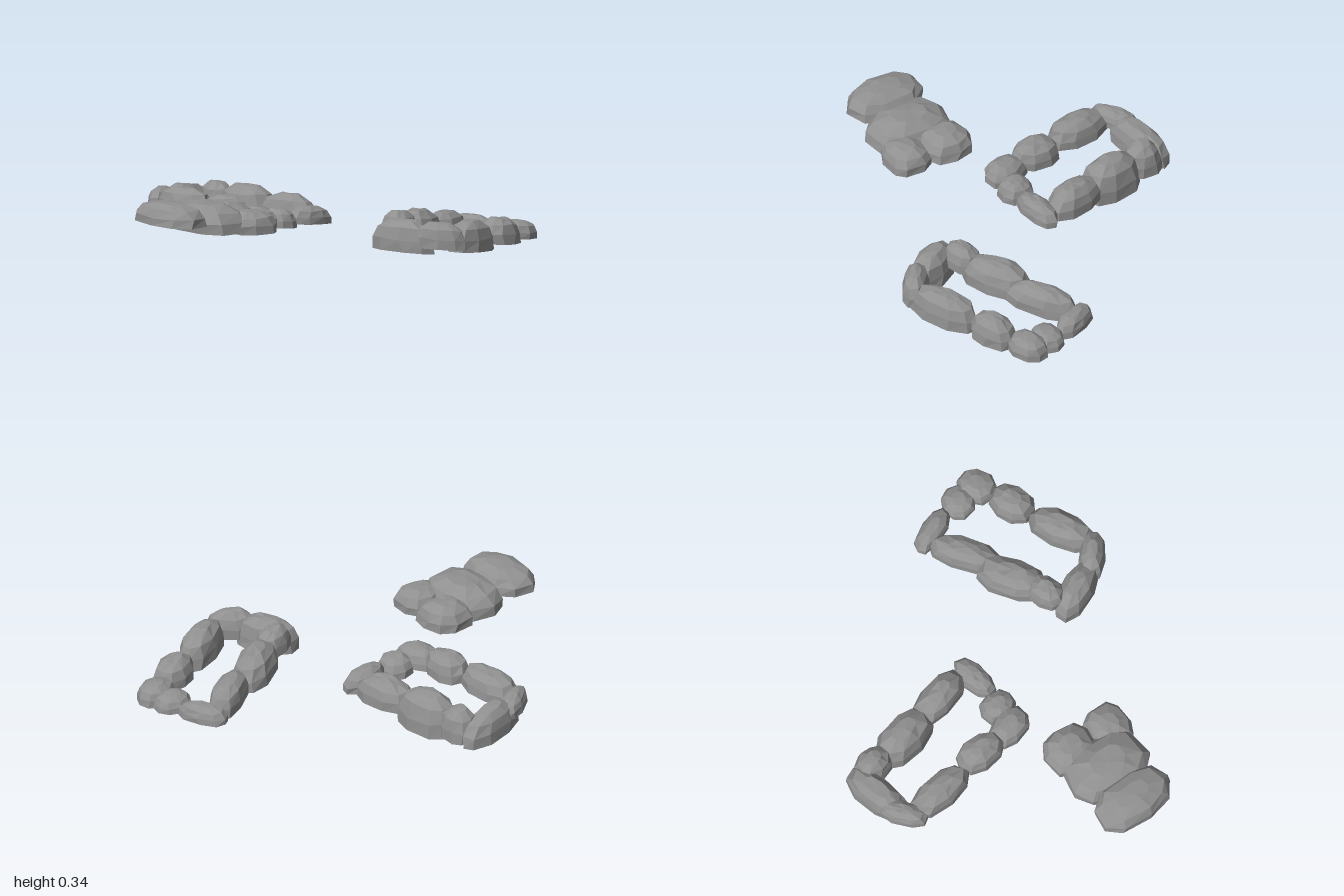
import * as THREE from 'three';

const SIDES = 9;
// profile of an open-bottomed boulder shell: [height, radius]
const PROFILE = [[0, 1], [0.38, 0.98], [0.74, 0.81], [0.96, 0.42]];

function makeRandom(seed) {
  let s = seed;
  return () => ((s = (s * 16807) % 2147483647) / 2147483647) - 0.5;
}

// One faceted boulder; square < 1 makes the outline boxier, slope leans it with the ground
function boulderGeometry(halfLength, halfWidth, height, yaw, { square, slope }, seed) {
  const rnd = makeRandom(seed * 7919 + 13);
  for (let i = 0; i < 5; i++) rnd();
  const pos = [], idx = [];
  const c = Math.cos(yaw), s = Math.sin(yaw);
  const add = (u, v, y) => {
    const x = u * c + v * s, z = -u * s + v * c;
    pos.push(x, y + slope[0] * x + slope[1] * z, z);
  };
  const soft = (t) => Math.sign(t) * Math.pow(Math.abs(t), square);
  const wobble = Array.from({ length: SIDES }, () => 1 + rnd() * 0.06);
  const phase = rnd() * 0.6;
  PROFILE.forEach(([h, r], k) => {
    for (let i = 0; i < SIDES; i++) {
      const a = (i / SIDES) * Math.PI * 2 + phase + rnd() * 0.16;
      const q = r * wobble[i] * (1 + rnd() * 0.05);
      const lift = k === 0 ? 0 : rnd() * 0.08;
      add(soft(Math.cos(a)) * halfLength * q, soft(Math.sin(a)) * halfWidth * q, (h + lift) * height);
    }
  });
  const peak = pos.length / 3;
  add(halfLength * rnd() * 0.2, halfWidth * rnd() * 0.2, height);
  const last = (PROFILE.length - 1) * SIDES;
  for (let i = 0; i < SIDES; i++) {
    const j = (i + 1) % SIDES;
    for (let k = 0; k < last; k += SIDES) {
      const a = k + i, b = k + j;
      idx.push(a, a + SIDES, b, b, a + SIDES, b + SIDES);
    }
    idx.push(peak, last + j, last + i);
  }
  const indexed = new THREE.BufferGeometry();
  indexed.setAttribute('position', new THREE.Float32BufferAttribute(pos, 3));
  indexed.setIndex(idx);
  const geo = indexed.toNonIndexed();
  geo.computeVertexNormals();
  return geo;
}

// Each stone: x, z, half length, half width, yaw in degrees, bottom, top
const STEPS = [
  [-0.87, 0.145, 0.2, 0.125, 90, 0.235, 0.338],
  [-0.655, 0.155, 0.21, 0.155, 90, 0.185, 0.312],
  [-0.475, 0.07, 0.13, 0.12, 90, 0.173, 0.285],
  [-0.495, 0.285, 0.12, 0.11, 0, 0.17, 0.275],
];
const BACK_RING = [
  [-0.235, -0.745, 0.125, 0.058, 33, 0.12, 0.2],
  [-0.07, -0.775, 0.18, 0.08, 12, 0.05, 0.19],
  [0.06, -0.7, 0.095, 0.08, 90, 0.05, 0.2],
  [0.085, -0.5, 0.165, 0.1, -80, 0.03, 0.215],
  [0.14, -0.25, 0.16, 0.085, -78, 0.075, 0.2],
  [0.12, -0.055, 0.128, 0.065, 8, 0.085, 0.17],
  [-0.07, -0.055, 0.09, 0.08, 90, 0.09, 0.18],
  [-0.19, -0.08, 0.118, 0.082, -75, 0.115, 0.2],
  [-0.215, -0.27, 0.125, 0.087, 90, 0.12, 0.23],
  [-0.255, -0.54, 0.17, 0.085, -85, 0.12, 0.23],
];
const FRONT_RING = [
  [0.855, 0.25, 0.128, 0.06, -68, 0.012, 0.09],
  [0.66, 0.3, 0.185, 0.08, 33, 0.022, 0.14],
  [0.42, 0.395, 0.18, 0.095, 30, 0.05, 0.19],
  [0.25, 0.475, 0.1, 0.075, 20, 0.1, 0.215],
  [0.185, 0.6, 0.16, 0.08, -65, 0.045, 0.2],
  [0.275, 0.765, 0.125, 0.064, -42, 0.07, 0.2],
  [0.48, 0.735, 0.175, 0.086, 26, 0.036, 0.185],
  [0.73, 0.63, 0.118, 0.086, 20, 0.025, 0.15],
  [0.905, 0.55, 0.1, 0.086, 20, 0.018, 0.103],
  [0.895, 0.435, 0.09, 0.08, 0, 0.018, 0.09],
];

export function createModel() {
  const model = new THREE.Group();
  const stone = new THREE.MeshStandardMaterial({ color: 0x909090 });
  stone.name = 'stoneGrey';
  stone.flatShading = true;
  stone.side = THREE.DoubleSide;

  let seed = 1;
  const cluster = (name, stones, style) => {
    const group = new THREE.Group();
    group.name = name;
    stones.forEach(([x, z, hl, hw, yaw, y0, y1], i) => {
      const geo = boulderGeometry(hl, hw, y1 - y0, THREE.MathUtils.degToRad(yaw), style, seed++);
      const mesh = new THREE.Mesh(geo, stone);
      mesh.name = `${name}Stone${i + 1}`;
      mesh.position.set(x, y0, z);
      group.add(mesh);
    });
    model.add(group);
  };

  cluster('steps', STEPS, { square: 0.76, slope: [-0.03, 0] });
  cluster('backRing', BACK_RING, { square: 0.88, slope: [-0.1, 0.04] });
  cluster('frontRing', FRONT_RING, { square: 0.88, slope: [-0.1, 0.03] });
  return model;
}
